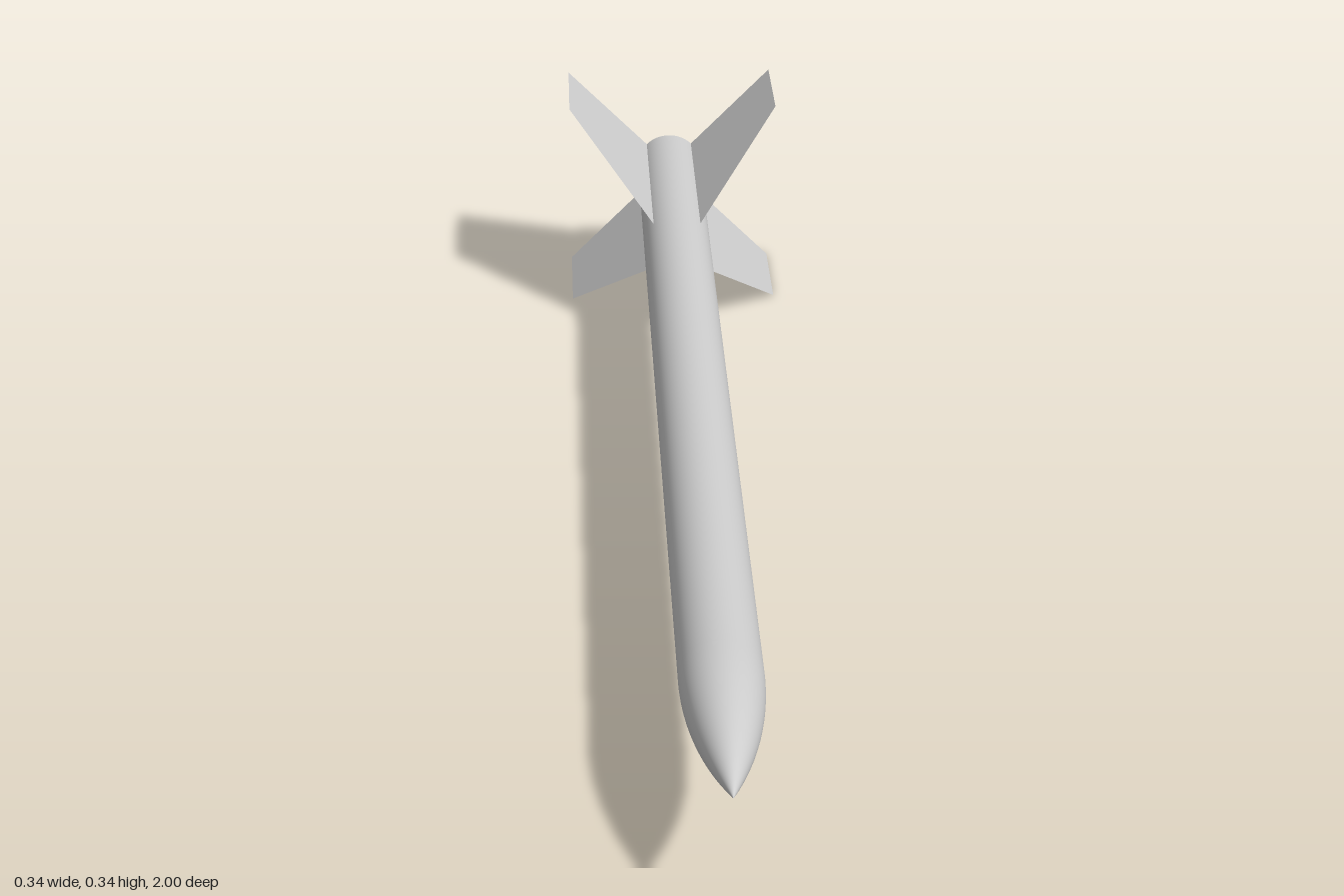
import * as THREE from 'three';

const RADIUS = 0.0535;
const AXIS_Y = 0.17;
const SHOULDER = 0.73; // where the nose cone meets the tube
const SIDES = 64;

export function createModel() {
  const model = new THREE.Group();
  model.name = 'rocket';
  const material = new THREE.MeshStandardMaterial({ color: 0xcccccc });
  const finMaterial = new THREE.MeshStandardMaterial({ color: 0xcccccc, side: THREE.DoubleSide });

  // Everything is built around the z axis, then lifted to stand on the fin tips
  const add = (name, geometry, mat = material) => {
    const mesh = new THREE.Mesh(geometry, mat);
    mesh.name = name;
    mesh.position.y = AXIS_Y;
    model.add(mesh);
  };

  // Body tube
  const length = SHOULDER + 1;
  const tube = new THREE.CylinderGeometry(RADIUS, RADIUS, length, SIDES, 1, true);
  add('bodyTube', tube.rotateX(Math.PI / 2).translate(0, 0, SHOULDER - length / 2));

  // Flat tail disc
  add('tailCap', new THREE.CircleGeometry(RADIUS, SIDES).rotateY(Math.PI).translate(0, 0, -1));

  // Nose cone: ogive profile, tangent to the tube and pointed at the tip
  const profile = [];
  const steps = 20;
  for (let i = 0; i <= steps; i++) {
    const t = i / steps;
    profile.push(new THREE.Vector2(RADIUS * (1 - t * t), SHOULDER + (1 - SHOULDER) * t));
  }
  add('noseCone', new THREE.LatheGeometry(profile, SIDES).rotateX(Math.PI / 2));

  // Four thin swept fins on the diagonals
  const tip = AXIS_Y * Math.SQRT2;
  const outline = new THREE.Shape([
    new THREE.Vector2(RADIUS, -1),
    new THREE.Vector2(tip, -1),
    new THREE.Vector2(tip, -0.82),
    new THREE.Vector2(RADIUS, -0.64),
  ]);
  for (let i = 0; i < 4; i++) {
    const fin = new THREE.ShapeGeometry(outline).rotateX(Math.PI / 2);
    add('fin' + (i + 1), fin.rotateZ(Math.PI / 4 + (i * Math.PI) / 2), finMaterial);
  }

  return model;
}
